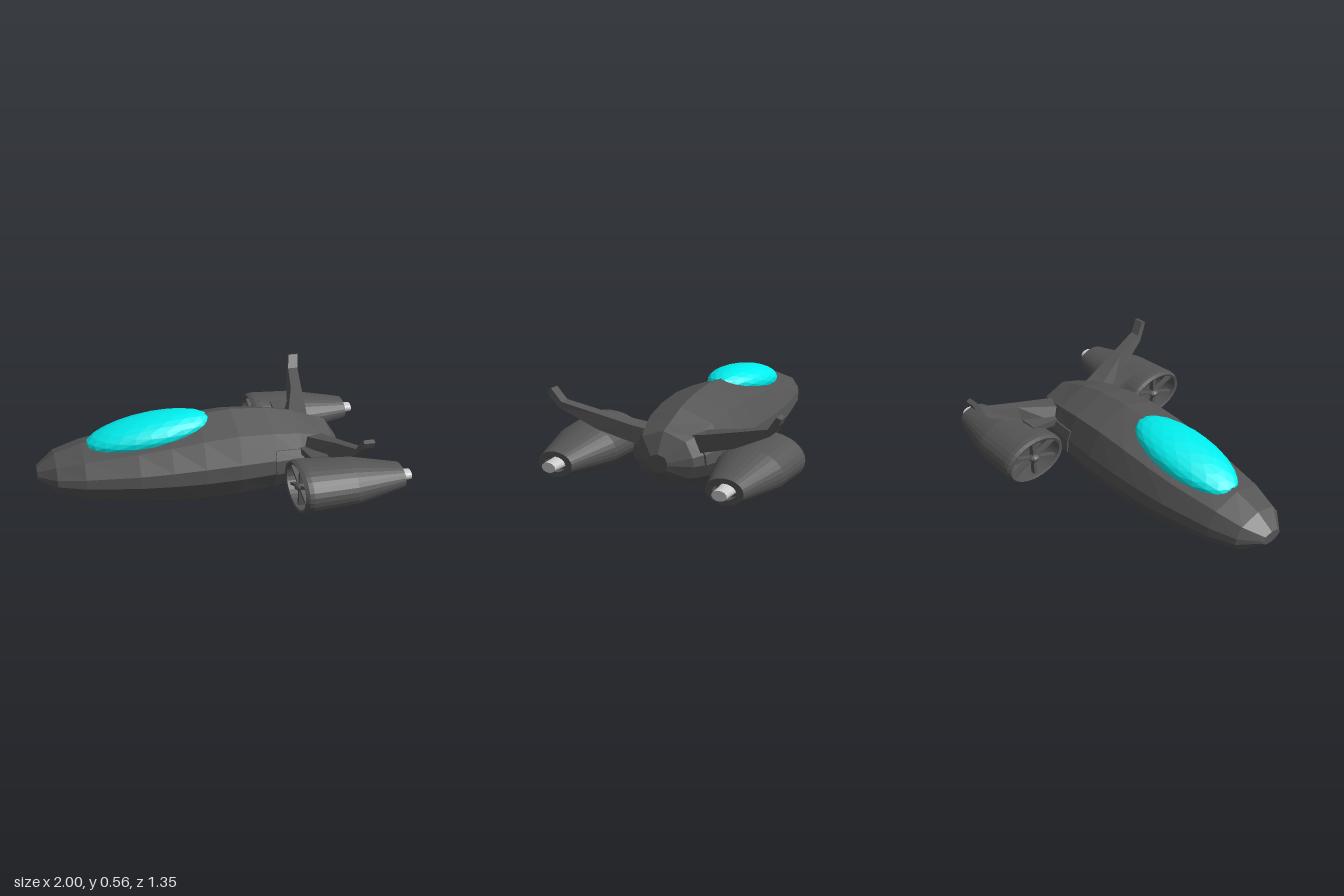
import * as THREE from 'three';

const V = (x, y, z) => new THREE.Vector3(x, y, z);
const paint = (color) => new THREE.MeshStandardMaterial({ color, flatShading: true, side: THREE.DoubleSide });
const hullMat = paint(0x555555), glassMat = paint(0x00eeee), lightMat = paint(0xcccccc);

// Joins rings of equal point count into a closed solid, facing outward
function loft(rings) {
  const tris = [];
  const n = rings[0].length;
  for (let i = 0; i < rings.length - 1; i++) {
    for (let j = 0; j < n; j++) {
      const k = (j + 1) % n;
      const a = rings[i][j], b = rings[i][k], c = rings[i + 1][k], d = rings[i + 1][j];
      tris.push([a, b, c], [a, c, d]);
    }
  }
  const first = rings[0], last = rings[rings.length - 1];
  for (let j = 1; j < n - 1; j++) {
    tris.push([first[0], first[j + 1], first[j]], [last[0], last[j], last[j + 1]]);
  }
  const volume = tris.reduce((s, [a, b, c]) => s + a.dot(b.clone().cross(c)), 0);
  if (volume < 0) tris.forEach((t) => t.reverse());
  const geo = new THREE.BufferGeometry().setFromPoints(tris.flat());
  geo.computeVertexNormals();
  return geo;
}

function add(parent, name, geo, mat) {
  const mesh = new THREE.Mesh(geo, mat);
  mesh.name = name;
  parent.add(mesh);
  return mesh;
}

// Hull stations: x, half width, top, bottom
const STATIONS = [
  [-1, 0.065, 0.285, 0.215], [-0.9, 0.165, 0.355, 0.13], [-0.75, 0.215, 0.4, 0.085],
  [-0.46, 0.265, 0.445, 0.035], [-0.28, 0.28, 0.475, 0.012], [-0.1, 0.287, 0.503, 0],
  [0.1, 0.285, 0.52, 0.003], [0.3, 0.27, 0.505, 0.025], [0.46, 0.247, 0.473, 0.05],
  [0.6, 0.205, 0.42, 0.09], [0.66, 0.17, 0.4, 0.11], [0.73, 0.055, 0.295, 0.195],
];
// Half section from ridge to keel: width and height fractions
const SECTION = [[0, 1], [0.73, 0.71], [0.97, 0.18], [1, -0.14], [0.78, -0.62], [0.4, -0.92], [0, -1]];
const MID = 0.247, HULL_Z = -0.007;

const hullPoint = ([x, w, top, bottom], [u, v], side, grow = 0) =>
  V(x, MID + v * (v > 0 ? top - MID : MID - bottom), HULL_Z + side * u * (w + grow));

function hullGeometry() {
  return loft(STATIONS.map((s) => [
    ...SECTION.map((p) => hullPoint(s, p, 1)),
    ...SECTION.slice(1, -1).reverse().map((p) => hullPoint(s, p, -1)),
  ]));
}

// Thin raised plate on the hull flank beside the engine
function flankPlate(side) {
  const edge = [[0.88, 0.38], [0.97, 0.18], [1, -0.14]];
  return loft(STATIONS.slice(7, 10).map((s) => [
    ...edge.map((p) => hullPoint(s, p, side, 0.01)),
    ...edge.map((p) => hullPoint(s, p, side, -0.03)).reverse(),
  ]));
}

// Swept wing with upturned tip: [z, y] of top, [z, y] of bottom, front x, top front x, rear x
function wing(side) {
  const spans = [
    [[0.13, 0.375], [0.13, 0.275], 0.44, 0.49, 0.6],
    [[0.2, 0.39], [0.205, 0.296], 0.46, 0.51, 0.615],
    [[0.4, 0.441], [0.395, 0.354], 0.56, 0.585, 0.65],
    [[0.587, 0.49], [0.598, 0.455], 0.615, 0.625, 0.685],
    [[0.635, 0.56], [0.65, 0.52], 0.637, 0.64, 0.7],
    [[0.638, 0.562], [0.662, 0.552], 0.64, 0.642, 0.702],
  ];
  return loft(spans.map(([t, b, front, topFront, rear]) => [
    V(front, b[1], side * b[0]), V(topFront, t[1], side * t[0]),
    V(rear, t[1], side * t[0]), V(rear, b[1], side * b[0]),
  ]));
}

function engine() {
  const g = new THREE.Group();
  g.name = 'engine';
  // Cowl with recessed intake and recessed exhaust
  const profile = [
    [0, 0.5], [0.165, 0.5], [0.168, 0.345], [0.185, 0.34], [0.198, 0.36], [0.202, 0.385],
    [0.185, 0.64], [0.1, 0.94], [0.062, 0.94], [0.058, 0.9], [0, 0.9],
  ].map(([r, y]) => new THREE.Vector2(r, y));
  add(g, 'engineCowl', new THREE.LatheGeometry(profile, 32).rotateZ(-Math.PI / 2), hullMat);
  // Intake hub and spokes
  const hub = new THREE.SphereGeometry(0.035, 12, 8);
  add(g, 'intakeHub', hub, hullMat).position.x = 0.37;
  for (let i = 0; i < 6; i++) {
    const spoke = new THREE.BoxGeometry(0.03, 0.15, 0.02).translate(0.375, 0.095, 0);
    add(g, 'intakeSpoke', spoke.rotateX((i * Math.PI) / 3), hullMat);
  }
  // Bright exhaust plug
  const nozzle = new THREE.CylinderGeometry(0.04, 0.046, 0.11, 16).rotateZ(-Math.PI / 2);
  add(g, 'exhaustNozzle', nozzle, lightMat).position.x = 0.945;
  g.scale.y = 0.67;
  return g;
}

export function createModel() {
  const model = new THREE.Group();
  model.name = 'spacecraft';

  add(model, 'hull', hullGeometry(), hullMat);

  // Tilted bubble canopy
  const canopy = add(model, 'canopy', new THREE.IcosahedronGeometry(1, 3), glassMat);
  canopy.scale.set(0.357, 0.09, 0.17);
  canopy.rotation.z = 0.14;
  canopy.position.set(-0.375, 0.432, HULL_Z);

  for (const side of [1, -1]) {
    add(model, 'wing', wing(side), hullMat);
    add(model, 'flankPlate', flankPlate(side), hullMat);
    // Strut carrying the engine
    const strut = add(model, 'engineStrut', new THREE.BoxGeometry(0.1, 0.035, 0.2), hullMat);
    strut.position.set(0.5, 0.335, side * 0.3);
    strut.rotation.x = -side * 0.15;
    const pod = engine();
    pod.position.set(0, 0.24, side * 0.472);
    model.add(pod);
  }
  return model;
}
